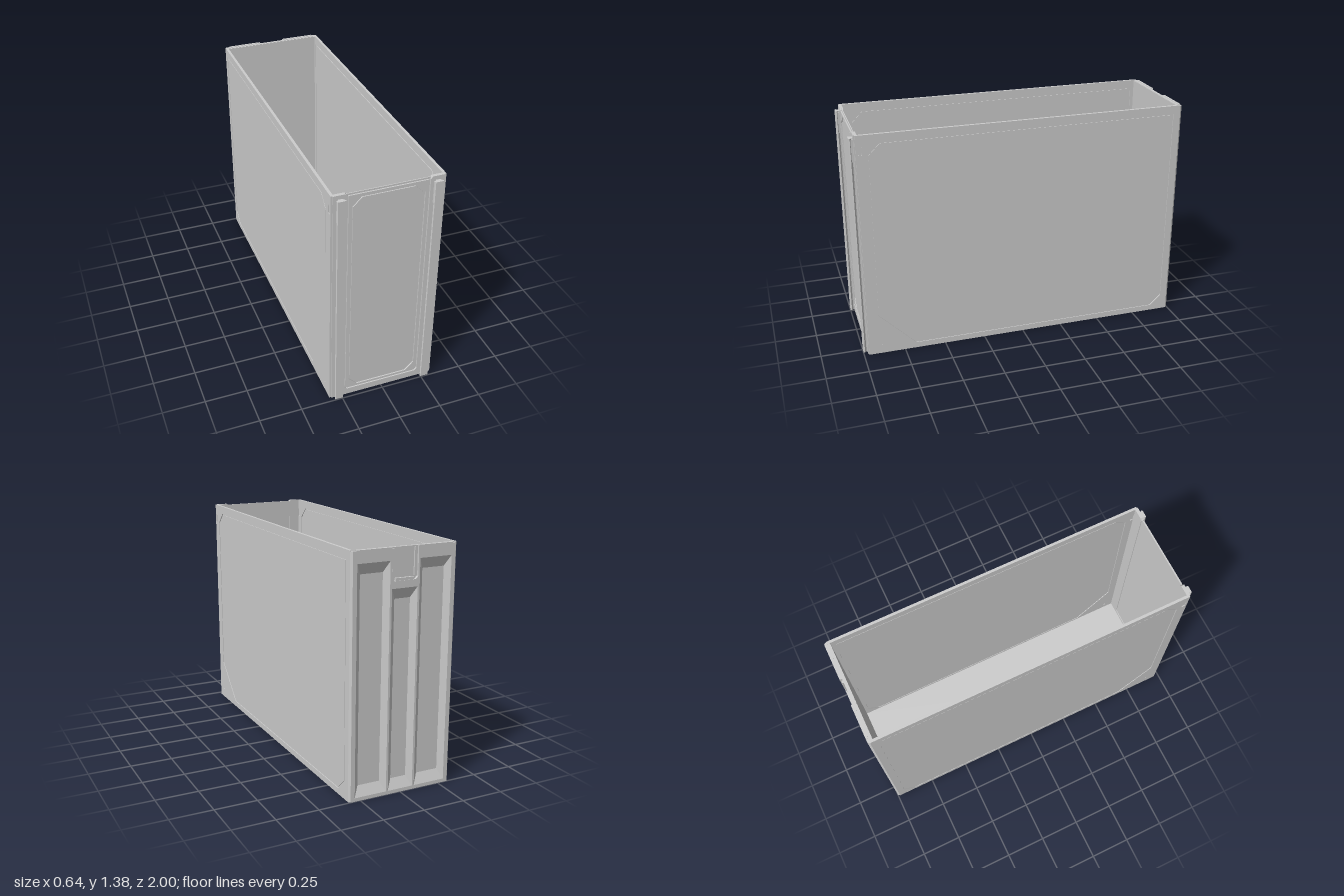
import * as THREE from 'three';

const W = 0.32, H = 1.38, FRONT = 0.975, BACK = -1, WALL = 0.016, GROOVE = 0.006;

const pts = (list) => list.map(([x, y]) => new THREE.Vector2(x, y));
const rect = (x0, x1, y0, y1) => pts([[x0, y0], [x1, y0], [x1, y1], [x0, y1]]);

// same outline made smaller all round, leaving a groove of width g
function inset(outline, g) {
  const box = new THREE.Box2().setFromPoints(outline);
  const c = box.getCenter(new THREE.Vector2()), size = box.getSize(new THREE.Vector2());
  const k = new THREE.Vector2(1 - 2 * g / size.x, 1 - 2 * g / size.y);
  return outline.map((p) => p.clone().sub(c).multiply(k).add(c));
}

// flat plate with optional holes, extruded along +z
function plate(outline, holes, depth) {
  const shape = new THREE.Shape(outline);
  holes.forEach((h) => shape.holes.push(new THREE.Path(h)));
  return new THREE.ExtrudeGeometry(shape, { depth, bevelEnabled: false });
}

// shallow pocket sunk into the back: four sloping sides and a floor, facing -z
function pocketGeometry(x0, x1, y0, y1, dx, dy, depth) {
  const ring = (ix, iy, z) => [[x0 + ix, y0 + iy, z], [x1 - ix, y0 + iy, z], [x1 - ix, y1 - iy, z], [x0 + ix, y1 - iy, z]];
  const a = ring(0, 0, BACK), b = ring(dx, dy, BACK + depth), pos = [];
  const quad = (p, q, r, s) => [p, q, r, p, r, s].forEach((v) => pos.push(...v));
  for (let i = 0; i < 4; i++) {
    const j = (i + 1) % 4;
    quad(a[i], b[i], b[j], a[j]);
  }
  quad(b[3], b[2], b[1], b[0]);
  const g = new THREE.BufferGeometry();
  g.setAttribute('position', new THREE.Float32BufferAttribute(pos, 3));
  g.computeVertexNormals();
  return g;
}

export function createModel() {
  const model = new THREE.Group();
  model.name = 'storageBin';
  const material = new THREE.MeshStandardMaterial({ color: 0xcccccc, flatShading: true, side: THREE.DoubleSide });
  const add = (name, geometry, x = 0, y = 0, z = 0) => {
    const mesh = new THREE.Mesh(geometry, material);
    mesh.name = name;
    mesh.position.set(x, y, z);
    model.add(mesh);
  };
  const box = (name, x0, x1, y0, y1, z0, z1) =>
    add(name, new THREE.BoxGeometry(x1 - x0, y1 - y0, z1 - z0), (x0 + x1) / 2, (y0 + y1) / 2, (z0 + z1) / 2);

  // floor
  box('floor', -W + 0.008, W - 0.008, 0, 0.02, BACK + 0.005, FRONT - 0.005);

  // side walls: frame, cut-corner panel inside a groove, thin core (shape x is -z)
  const sideOpening = pts([[-0.905, 0.26], [-0.68, 0.035], [0.875, 0.035], [0.945, 0.1],
    [0.945, 1.33], [-0.84, 1.33], [-0.905, 1.265]]);
  const slot = rect(-0.957, -0.935, 1.265, 1.315);
  const leverSlot = pts([[-0.905, 0.066], [-0.89, 0.054], [-0.887, 0.058], [-0.902, 0.07]]);
  const sideFrame = plate(rect(-FRONT + 0.006, 0.985, 0, H), [sideOpening, slot, leverSlot], WALL).rotateY(Math.PI / 2);
  const sidePanel = plate(inset(sideOpening, GROOVE), [], WALL - 0.002).rotateY(Math.PI / 2);
  for (const s of [-1, 1]) {
    const mid = s * (W - WALL / 2);
    add('sideFrame', sideFrame, mid - WALL / 2);
    add('sidePanel', sidePanel, mid - WALL / 2 + 0.001);
    box('sideCore', mid - 0.003, mid + 0.003, 0.01, H - 0.01, -0.98, 0.965);
    // corner strip with a cut edge behind each side wall
    const strip = pts([[s * W, 0.985], [s * W, 0.988], [s * 0.31, 1], [s * 0.29, 1], [s * 0.29, 0.985]]);
    add('backCornerStrip', plate(strip, [], H - 0.004).rotateX(-Math.PI / 2));
  }

  // front frame, open at the top, with the door set into it
  const frameOutline = pts([[-0.31, 0], [0.31, 0], [0.31, H], [0.24, H], [0.23, 1.365], [0.23, 0.055], [0.215, 0.04],
    [-0.215, 0.04], [-0.23, 0.055], [-0.23, 1.365], [-0.24, H], [-0.31, H]]);
  const doorOutline = pts([[-0.21, 0.046], [0.21, 0.046], [0.224, 0.06], [0.224, 1.365], [-0.224, 1.365], [-0.224, 0.06]]);
  const doorOpening = pts([[-0.153, 0.06], [0.153, 0.06], [0.205, 0.112], [0.205, 1.295],
    [0.153, 1.347], [-0.153, 1.347], [-0.205, 1.295], [-0.205, 0.112]]);
  add('frontFrame', plate(frameOutline, [], 0.02), 0, 0, FRONT - 0.02);
  add('doorFrame', plate(doorOutline, [doorOpening], 0.012), 0, 0, FRONT - 0.014);
  add('doorPanel', plate(inset(doorOpening, GROOVE), [], 0.01), 0, 0, FRONT - 0.014);
  box('doorCore', -0.235, 0.235, 0.03, 1.375, FRONT - 0.015, FRONT - 0.01);

  // flared rails on the front
  const rail = pts([[-0.015, -0.97], [-0.015, -0.982], [-0.025, -0.992], [-0.022, -1],
    [0.022, -1], [0.025, -0.992], [0.015, -0.982], [0.015, -0.97]]);
  const railGeometry = plate(rail, [], 1.352).rotateX(-Math.PI / 2);
  for (const x of [-0.27, 0.27]) {
    add('frontRail', railGeometry, x, 0.005, 0);
    box('railStop', x - 0.021, x + 0.021, 1.22, 1.35, 0.972, 0.99);
  }

  // back wall with three pockets and a notch at the top for the latch
  const pockets = [[-0.285, -0.09, 0.02, 1.31], [-0.078, 0.078, 0.02, 1.16], [0.09, 0.285, 0.02, 1.31]];
  const backOutline = pts([[-0.29, 0], [0.29, 0], [0.29, H], [0.08, H], [0.08, 1.215], [0.065, 1.2],
    [-0.065, 1.2], [-0.08, 1.215], [-0.08, H], [-0.29, H]]);
  add('backFace', plate(backOutline, pockets.map((p) => rect(...p)), 0.015), 0, 0, BACK);
  pockets.forEach((p) => add('backPocket', pocketGeometry(...p, 0.03, 0.06, 0.026)));
  box('backInnerWall', -0.306, 0.306, 0.005, H - 0.004, -0.973, -0.967);
  box('backRim', -0.306, 0.306, 1.35, H - 0.002, -0.986, -0.97);
  box('latchRecess', -0.085, 0.085, 1.19, H - 0.002, -0.984, -0.972);
  box('latchLip', -0.055, 0.055, 1.195, 1.215, -0.998, -0.98);
  for (const x of [-0.068, 0.068]) box('latchGuide', x - 0.008, x + 0.008, 1.22, 1.37, -0.994, -0.98);

  return model;
}
